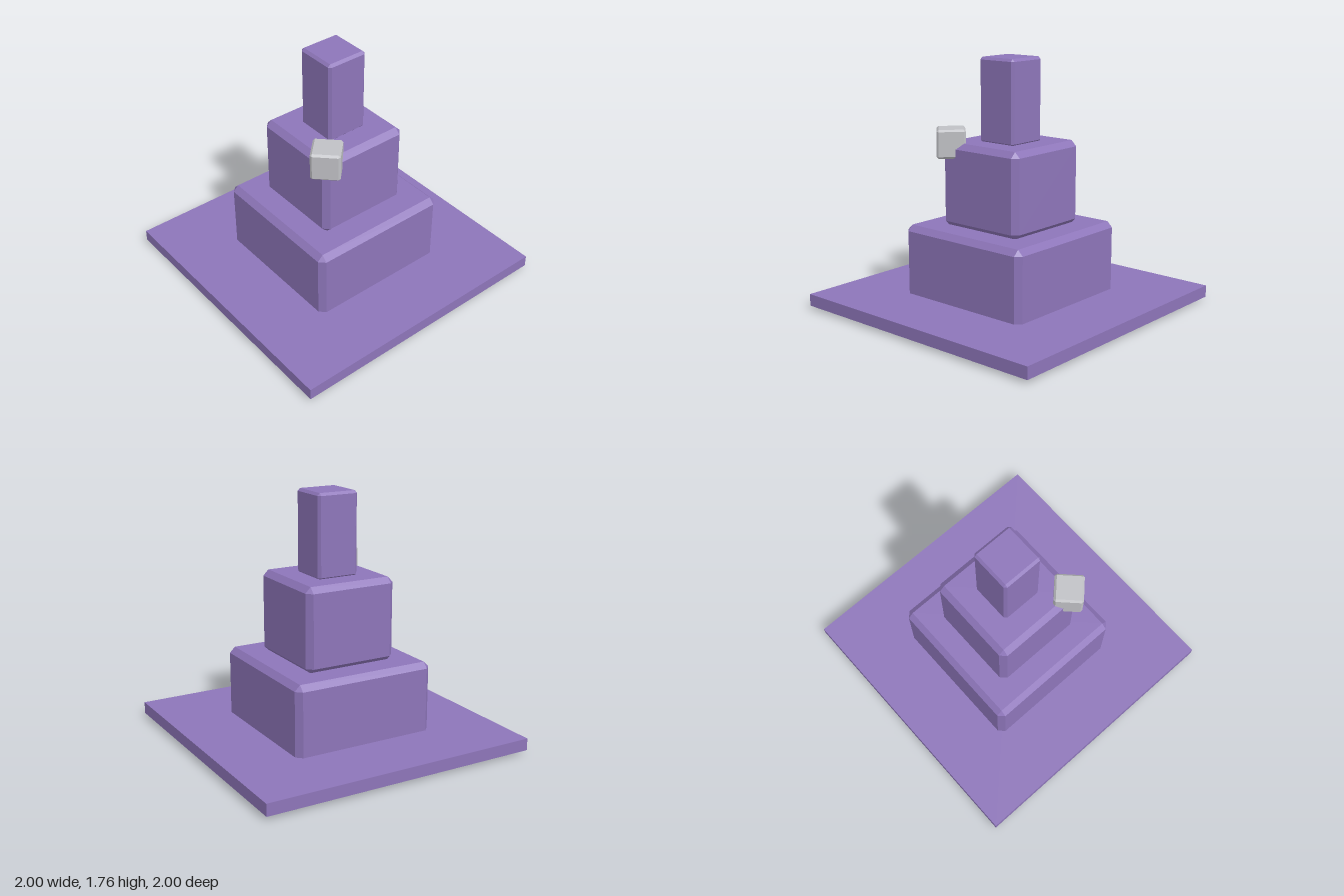
import * as THREE from 'three';
import { ConvexGeometry } from 'three/addons/geometries/ConvexGeometry.js';

// Box with every edge and corner cut off by the bevel b, from hull points
function chamferedBox(w, h, d, b) {
  const points = [];
  for (const sx of [-1, 1]) for (const sy of [-1, 1]) for (const sz of [-1, 1]) {
    const x = w / 2, y = h / 2, z = d / 2;
    points.push(
      new THREE.Vector3(sx * x, sy * (y - b), sz * (z - b)),
      new THREE.Vector3(sx * (x - b), sy * y, sz * (z - b)),
      new THREE.Vector3(sx * (x - b), sy * (y - b), sz * z),
    );
  }
  return new ConvexGeometry(points);
}

export function createModel() {
  const model = new THREE.Group();
  model.name = 'steppedTower';
  const purple = new THREE.MeshStandardMaterial({ name: 'purple', color: 0x8d75b9, flatShading: true });
  const grey = new THREE.MeshStandardMaterial({ name: 'lightGrey', color: 0xc0c1c5, flatShading: true });

  const add = (name, geometry, material, x, y, z) => {
    const mesh = new THREE.Mesh(geometry, material);
    mesh.name = name;
    mesh.position.set(x, y, z);
    model.add(mesh);
    return mesh;
  };

  // Wide ground slab
  add('baseSlab', new THREE.BoxGeometry(2, 0.085, 2), purple, 0, 0.065, 0);

  // Stacked tiers: name, width, bottom, top, bevel
  const tiers = [
    ['lowerTier', 1.05, 0, 0.6, 0.04],
    ['middleTier', 0.68, 0.59, 1.185, 0.04],
    ['upperTier', 0.305, 1.175, 1.765, 0.018],
  ];
  for (const [name, width, bottom, top, bevel] of tiers) {
    add(name, chamferedBox(width, top - bottom, width, bevel), purple, 0, (bottom + top) / 2, 0);
  }

  // Small cube set diagonally into the front left corner of the middle tier
  const cube = add('cornerCube', chamferedBox(0.2, 0.2, 0.2, 0.014), grey, 0.29, 1.18, 0.29);
  cube.rotation.y = Math.PI / 4;

  return model;
}
